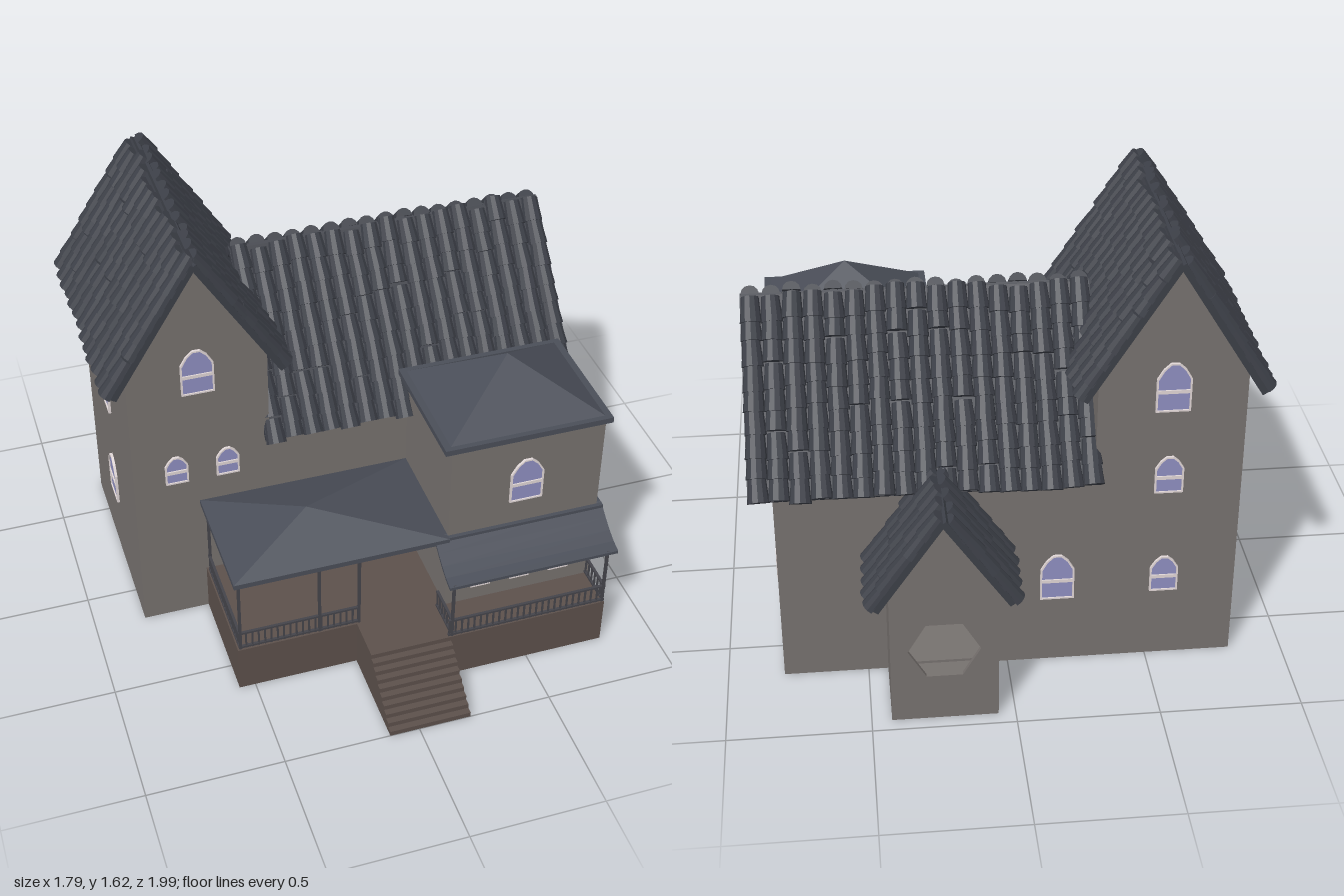
import * as THREE from 'three';
import { mergeGeometries } from 'three/addons/utils/BufferGeometryUtils.js';

const mat = (color) => new THREE.MeshStandardMaterial({ color, flatShading: true, side: THREE.DoubleSide });
const WALL = mat(0x76716e), ROOF = mat(0x3c3f47), SLATE = mat(0x4a4e58), BASE = mat(0x5c504b);
const GLASS = mat(0x8e8ec0), FRAME = mat(0xe0d6d6), RAIL = mat(0x44444a);

let seed = 7;
const rand = () => (seed = (seed * 16807) % 2147483647) / 2147483647;

const pts = (list) => list.map(([x, y]) => new THREE.Vector2(x, y));

function add(parent, name, geometry, material) {
  const mesh = new THREE.Mesh(geometry, material);
  mesh.name = name;
  parent.add(mesh);
  return mesh;
}

// Box given by its limits on each axis
function box(x0, x1, y0, y1, z0, z1) {
  return new THREE.BoxGeometry(x1 - x0, y1 - y0, z1 - z0)
    .translate((x0 + x1) / 2, (y0 + y1) / 2, (z0 + z1) / 2);
}

// Outline extruded along z, with optional holes
function slab(outline, depth, holes = []) {
  const shape = new THREE.Shape(pts(outline));
  holes.forEach((h) => shape.holes.push(new THREE.Path(pts(h))));
  return new THREE.ExtrudeGeometry(shape, { depth, bevelEnabled: false });
}

// Arched opening with a faceted head
function arch(cx, y, w, h) {
  return [[-0.5, 0], [0.5, 0], [0.5, 0.68], [0.32, 0.88], [0.12, 1], [-0.12, 1], [-0.32, 0.88], [-0.5, 0.68]]
    .map(([u, v]) => [cx + u * w, y + v * h]);
}

function makeWindow(w, h) {
  const g = new THREE.Group();
  g.name = 'window';
  const t = 0.006;
  add(g, 'windowFrame', slab(arch(0, 0, w, h), 0.01, [arch(0, t, w - 2 * t, h - 2 * t)]), FRAME);
  add(g, 'windowGlass', slab(arch(0, t, w - 2 * t, h - 2 * t), 0.005), GLASS);
  add(g, 'windowBar', box(-w / 2, w / 2, h * 0.38, h * 0.38 + 0.013, 0, 0.01), FRAME);
  return g;
}

// Gable roof with its ridge along z: two boards covered by rolls of overlapping tapered tiles
function tiledRoof(name, length, run, drop, columns, rows) {
  const parts = [];
  const slope = Math.hypot(run, drop), pitch = length / columns, step = slope / rows;
  for (const s of [-1, 1]) {
    const down = new THREE.Vector3(s * run, -drop, 0).normalize();
    const up = new THREE.Vector3(s * drop, run, 0).normalize();
    const basis = new THREE.Matrix4().makeBasis(down.clone().cross(up), down, up);
    parts.push(new THREE.BoxGeometry(length, slope, 0.024).translate(0, slope / 2, 0).applyMatrix4(basis));
    for (let c = 0; c < columns; c++) {
      const shift = (rand() - 0.5) * 0.03;
      for (let r = 0; r < rows; r++) {
        const tile = new THREE.CylinderGeometry(pitch * 0.54, pitch * 0.44, step * 1.15, 6, 1, false, -Math.PI / 2, Math.PI);
        tile.rotateZ((rand() - 0.5) * 0.07);
        const wobble = r < rows - 1 ? shift + (rand() - 0.5) * 0.025 : (rand() - 0.5) * 0.015;
        tile.translate((c + 0.5) * pitch - length / 2, (r + 0.5) * step + wobble, 0.006 + rand() * 0.006);
        parts.push(tile.applyMatrix4(basis));
      }
    }
  }
  const mesh = new THREE.Mesh(mergeGeometries(parts), ROOF);
  mesh.name = name;
  return mesh;
}

// Four-sided roof with a movable apex
function hip(x0, x1, z0, z1, y0, y1, ax, az) {
  const cx = (x0 + x1) / 2, cz = (z0 + z1) / 2;
  const g = new THREE.CylinderGeometry(0, Math.SQRT1_2, 1, 4, 1).rotateY(Math.PI / 4);
  g.scale(x1 - x0, y1 - y0, z1 - z0).translate(cx, (y0 + y1) / 2, cz);
  const p = g.attributes.position;
  for (let i = 0; i < p.count; i++) if (p.getY(i) > y1 - 0.001) p.setXYZ(i, ax, y1, az);
  return g.toNonIndexed();
}

// Balustrade between two floor points [x, z]
function railing([xa, za], [xb, zb]) {
  const y = 0.19, h = 0.075, t = 0.003, parts = [];
  const n = Math.round(Math.hypot(xb - xa, zb - za) / 0.024);
  for (let i = 0; i <= n; i++) {
    const x = xa + ((xb - xa) * i) / n, z = za + ((zb - za) * i) / n;
    parts.push(box(x - t, x + t, y, y + h, z - t, z + t));
  }
  for (const ry of [y + 0.008, y + h]) {
    parts.push(box(Math.min(xa, xb) - 0.005, Math.max(xa, xb) + 0.005, ry - 0.004, ry + 0.004,
      Math.min(za, zb) - 0.005, Math.max(za, zb) + 0.005));
  }
  return mergeGeometries(parts);
}

export function createModel() {
  const house = new THREE.Group();
  house.name = 'house';
  const F = 0.16, B = -0.665;

  // Tall gabled wing
  add(house, 'tallWing', slab([[-0.81, 0], [-0.3, 0], [-0.3, 1.15], [-0.555, 1.55], [-0.81, 1.15]], F - B), WALL)
    .position.z = B;
  const tallRoof = tiledRoof('tallWingRoof', 0.9, 0.305, 0.49, 13, 8);
  tallRoof.position.set(-0.555, 1.58, -0.252);
  house.add(tallRoof);

  // Main block: front wall with doorway, rear wall, gable end and floor
  add(house, 'frontWall', slab([[-0.3, 0], [0.8, 0], [0.8, 0.79], [-0.3, 0.79]], 0.02, [arch(0.07, 0.19, 0.14, 0.2)]), WALL)
    .position.z = F - 0.02;
  add(house, 'rearWall', slab([[-0.3, 0], [0.8, 0], [0.8, 0.79], [-0.3, 0.79]], 0.02,
    [[[0.08, 0.02], [0.41, 0.02], [0.41, 0.5], [0.08, 0.5]]]), WALL).position.z = B;
  add(house, 'gableWall', slab([[B, 0], [F, 0], [F, 0.79], [-0.262, 1.295], [B, 0.8]], 0.02).rotateY(-Math.PI / 2), WALL)
    .position.x = 0.8;
  add(house, 'floor', box(-0.3, 0.8, 0, 0.01, B, F), WALL);
  const mainRoof = tiledRoof('mainRoof', 1.2, 0.45, 0.545, 17, 9);
  mainRoof.rotation.y = Math.PI / 2;
  mainRoof.position.set(0.28, 1.315, -0.262);
  house.add(mainRoof);

  // Rear annex with a hexagonal opening
  const hexagon = Array.from({ length: 6 }, (_, i) =>
    [0.245 + 0.125 * Math.cos((i * Math.PI) / 3), 0.29 + 0.125 * Math.sin((i * Math.PI) / 3)]);
  add(house, 'annexGable', slab([[0.06, 0], [0.43, 0], [0.43, 0.545], [0.245, 0.81], [0.06, 0.545]], 0.015, [hexagon]), WALL)
    .position.z = -0.95;
  for (const x of [0.06, 0.415]) add(house, 'annexSide', box(x, x + 0.015, 0, 0.545, -0.95, B), WALL);
  add(house, 'annexFloor', box(0.06, 0.43, 0, 0.01, -0.95, B), WALL);
  const annexRoof = tiledRoof('annexRoof', 0.33, 0.23, 0.34, 5, 5);
  annexRoof.position.set(0.245, 0.835, -0.825);
  house.add(annexRoof);

  // Front bay with a pyramid roof and a band at first-floor level
  add(house, 'bay', box(0.23, 0.81, 0, 0.92, F - 0.01, 0.615), WALL);
  add(house, 'bayCornice', box(0.2, 0.83, 0.92, 0.942, 0.135, 0.632), SLATE);
  add(house, 'bayRoof', hip(0.225, 0.805, 0.155, 0.612, 0.942, 1.12, 0.515, 0.385), SLATE);
  add(house, 'bayBand', box(0.22, 0.83, 0.512, 0.532, F, 0.63), SLATE);

  // Porch floor, deck, landing and steps
  add(house, 'porchBase', box(-0.56, 0.23, 0, 0.19, F, 0.615), BASE);
  add(house, 'deckBase', box(-0.11, 0.8, 0, 0.19, 0.615, 0.78), BASE);
  const steps = 9;
  for (let i = 0; i < steps; i++) {
    const d = 0.22 / steps;
    add(house, 'step', box(-0.11, 0.195, 0, 0.19 * (1 - (i + 1) / (steps + 1)), 0.78 + i * d, 0.78 + (i + 1) * d), BASE);
  }

  // Porch roof and curved awning
  add(house, 'porchEave', box(-0.57, 0.23, 0.512, 0.532, F, 0.635), SLATE);
  add(house, 'porchRoof', hip(-0.57, 0.23, F, 0.635, 0.532, 0.66, -0.25, 0.45), SLATE);
  const curve = [[0.61, 0.535], [0.66, 0.497], [0.7, 0.47], [0.74, 0.45], [0.782, 0.438]];
  const awning = [...curve, ...curve.slice().reverse().map(([z, y]) => [z, y - 0.012])];
  add(house, 'awning', slab(awning, 0.65).rotateY(-Math.PI / 2), SLATE).position.x = 0.83;

  // Posts and railings
  for (const [x, z, top] of [[-0.548, 0.605, 0.52], [-0.25, 0.605, 0.52], [-0.1, 0.605, 0.52], [-0.548, 0.18, 0.52],
    [0.2, 0.772, 0.44], [0.793, 0.772, 0.44]]) {
    add(house, 'post', box(x - 0.005, x + 0.005, 0.19, top, z - 0.005, z + 0.005), RAIL);
  }
  for (const [a, b] of [[[-0.55, 0.605], [-0.1, 0.605]], [[-0.55, 0.18], [-0.55, 0.605]],
    [[0.19, 0.772], [0.795, 0.772]], [[0.795, 0.62], [0.795, 0.772]], [[0.2, 0.62], [0.2, 0.772]]]) {
    add(house, 'railing', railing(a, b), RAIL);
  }

  // Windows: x, sill y, z, width, height, turn in quarter circles
  const windows = [
    [-0.555, 1.03, F, 0.12, 0.185, 0], [-0.65, 0.64, F, 0.085, 0.12, 0], [-0.46, 0.64, F, 0.085, 0.12, 0],
    [0.52, 0.635, 0.615, 0.125, 0.185, 0],
    [0.81, 0.63, 0.385, 0.125, 0.185, 1], [0.81, 0.28, 0.385, 0.125, 0.185, 1], [0.8, 0.81, -0.25, 0.12, 0.185, 1],
    [-0.81, 0.725, -0.26, 0.12, 0.19, -1], [-0.81, 0.285, -0.26, 0.12, 0.19, -1],
    [-0.555, 1.02, B, 0.12, 0.185, 2], [-0.555, 0.695, B, 0.1, 0.145, 2],
    [-0.555, 0.28, B, 0.1, 0.145, 2], [-0.175, 0.27, B, 0.12, 0.185, 2],
  ];
  for (const x of [-0.45, -0.295, -0.125]) windows.push([x, 0.255, F, 0.078, 0.12, 0]);
  for (const x of [0.365, 0.52, 0.675]) windows.push([x, 0.255, 0.615, 0.078, 0.12, 0]);
  for (const z of [-0.055, -0.255, -0.465]) windows.push([0.8, 0.305, z, 0.08, 0.125, 1]);
  for (const [x, y, z, w, h, turn] of windows) {
    const win = makeWindow(w, h);
    win.position.set(x, y, z);
    win.rotation.y = (turn * Math.PI) / 2;
    house.add(win);
  }
  return house;
}
